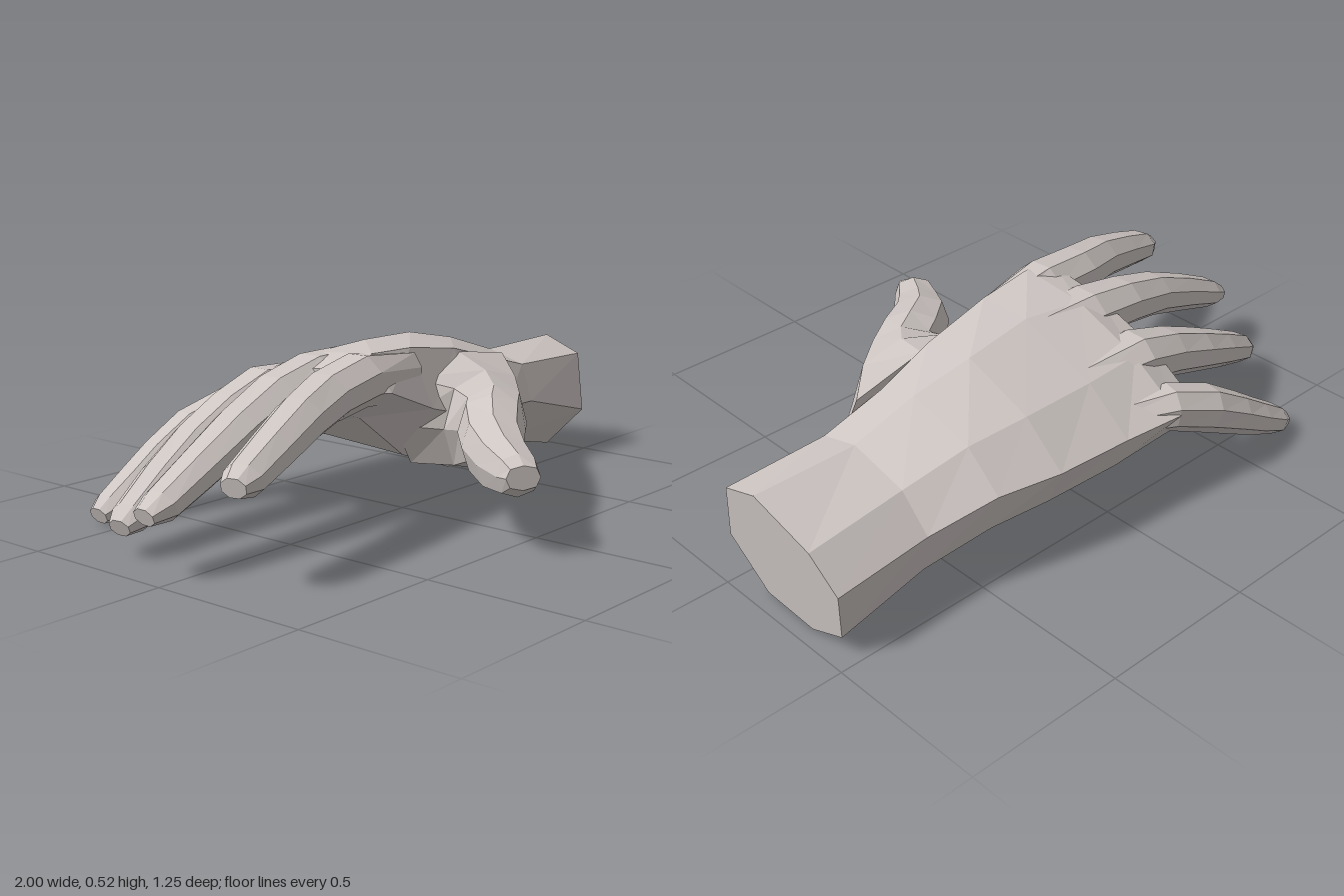
import * as THREE from 'three';

const V = (x, y, z) => new THREE.Vector3(x, y, z);

// Skin a list of equal-length rings and close both ends
function loft(rings, material, name) {
  const n = rings[0].length, pos = [], idx = [];
  rings.forEach(r => r.forEach(p => pos.push(p.x, p.y, p.z)));
  for (let i = 0; i < rings.length - 1; i++) {
    for (let j = 0; j < n; j++) {
      const a = i * n + j, b = i * n + (j + 1) % n;
      idx.push(a, b, a + n, b, b + n, a + n);
    }
  }
  const e = (rings.length - 1) * n;
  for (let j = 1; j < n - 1; j++) idx.push(0, j + 1, j, e, e + j, e + j + 1);
  let g = new THREE.BufferGeometry();
  g.setAttribute('position', new THREE.Float32BufferAttribute(pos, 3));
  g.setIndex(idx);
  g = g.toNonIndexed();
  g.computeVertexNormals(); // faceted
  const mesh = new THREE.Mesh(g, material);
  mesh.name = name;
  return mesh;
}

// Octagonal rings square to a path; each station is [x, y, z, width, height]
function fingerRings(stations) {
  const pts = stations.map(s => V(s[0], s[1], s[2]));
  return stations.map((s, i) => {
    const t = pts[Math.min(i + 1, pts.length - 1)].clone().sub(pts[Math.max(i - 1, 0)]).normalize();
    const side = V(0, 1, 0).cross(t).normalize();
    const up = t.clone().cross(side);
    return Array.from({ length: 8 }, (_, k) => {
      const a = (k + 0.5) * Math.PI / 4, f = 0.5 / Math.cos(Math.PI / 8);
      return pts[i].clone()
        .addScaledVector(side, Math.cos(a) * s[3] * f)
        .addScaledVector(up, Math.sin(a) * s[4] * f);
    });
  });
}

// Upright octagonal rings; each station is [outer x, outer z, inner x, inner z, top y, bottom y]
function thumbRings(stations) {
  return stations.map(([xo, zo, xi, zi, top, bottom]) => Array.from({ length: 8 }, (_, k) => {
    const a = k * Math.PI / 4, c = Math.cos(a), s = Math.sin(a);
    const w = (1 + Math.sign(c) * Math.abs(c) ** 0.8) / 2;
    const h = (1 + Math.sign(s) * Math.abs(s) ** 0.8) / 2;
    return V(xi + (xo - xi) * w, bottom + (top - bottom) * h, zi + (zo - zi) * w);
  }));
}

export function createModel() {
  const group = new THREE.Group();
  group.name = 'hand';
  const skin = new THREE.MeshStandardMaterial({ color: 0xcfc7c4 });
  skin.name = 'pale skin';

  // Wrist and palm: x, then z,y pairs from the thumb side over the back of the hand
  const sections = [
    [0.975, 0.01, 0.15, -0.03, 0.34, -0.167, 0.39, -0.38, 0.32, -0.476, 0.223, -0.455, 0.067, -0.316, 0.003, -0.123, 0.013],
    [0.66, 0.01, 0.23, -0.03, 0.35, -0.165, 0.387, -0.36, 0.34, -0.46, 0.24, -0.44, 0.12, -0.31, 0.075, -0.12, 0.075],
    [0.45, 0.06, 0.25, -0.03, 0.41, -0.17, 0.455, -0.39, 0.395, -0.51, 0.29, -0.48, 0.17, -0.3, 0.115, -0.1, 0.105],
    [0.25, 0.11, 0.26, 0, 0.465, -0.18, 0.497, -0.41, 0.41, -0.55, 0.29, -0.5, 0.17, -0.3, 0.13, -0.02, 0.08],
    [0, 0.12, 0.33, 0.03, 0.505, -0.15, 0.51, -0.41, 0.41, -0.565, 0.29, -0.52, 0.18, -0.3, 0.19, 0, 0.17],
    [-0.2, 0.125, 0.41, 0.05, 0.517, -0.17, 0.497, -0.4, 0.41, -0.585, 0.29, -0.53, 0.2, -0.3, 0.26, 0, 0.32],
    [-0.31, 0.1, 0.42, 0.04, 0.49, -0.14, 0.465, -0.36, 0.39, -0.58, 0.25, -0.53, 0.2, -0.3, 0.29, 0, 0.36],
  ];
  const palmRings = sections.map(([x, ...p], i) => Array.from({ length: 8 }, (_, k) => {
    const z = p[2 * k], y = p[2 * k + 1];
    return V(i === 0 ? x + (y - 0.2) * 0.13 : x, y, z); // slanted cut at the wrist
  }));
  group.add(loft(palmRings, skin, 'palmAndWrist'));

  // Fingers
  const fingers = {
    indexFinger: [
      [0, 0.42, 0.02, 0.1, 0.14], [-0.25, 0.445, 0.04, 0.165, 0.15], [-0.42, 0.425, 0.065, 0.16, 0.14],
      [-0.57, 0.395, 0.11, 0.145, 0.13], [-0.73, 0.345, 0.155, 0.13, 0.115],
      [-0.87, 0.3, 0.192, 0.115, 0.095], [-0.92, 0.29, 0.205, 0.075, 0.055]],
    middleFinger: [
      [-0.02, 0.44, -0.14, 0.15, 0.12], [-0.25, 0.425, -0.14, 0.185, 0.15], [-0.42, 0.395, -0.13, 0.165, 0.14],
      [-0.6, 0.34, -0.1, 0.15, 0.125], [-0.78, 0.265, -0.075, 0.13, 0.11],
      [-0.93, 0.2, -0.06, 0.115, 0.09], [-0.99, 0.18, -0.06, 0.075, 0.05]],
    ringFinger: [
      [-0.02, 0.375, -0.34, 0.13, 0.1], [-0.25, 0.36, -0.345, 0.175, 0.15], [-0.4, 0.315, -0.34, 0.16, 0.14],
      [-0.55, 0.255, -0.33, 0.15, 0.125], [-0.7, 0.185, -0.305, 0.135, 0.11],
      [-0.85, 0.112, -0.272, 0.115, 0.09], [-0.9, 0.092, -0.265, 0.07, 0.05]],
    littleFinger: [
      [0.0, 0.29, -0.45, 0.08, 0.09], [-0.22, 0.28, -0.515, 0.14, 0.13], [-0.36, 0.228, -0.545, 0.145, 0.135],
      [-0.48, 0.163, -0.56, 0.13, 0.12], [-0.58, 0.105, -0.563, 0.125, 0.105],
      [-0.68, 0.052, -0.563, 0.11, 0.085], [-0.725, 0.034, -0.563, 0.07, 0.05]],
  };
  for (const [name, stations] of Object.entries(fingers)) {
    group.add(loft(fingerRings(stations), skin, name));
  }

  // Thumb, widening into the side of the palm
  const thumb = [
    [0.62, -0.03, -0.06, 0.02, 0.45, 0.1], [0.42, 0.15, 0.05, 0.12, 0.415, 0.1],
    [0.27, 0.27, 0.06, 0.17, 0.39, 0.13], [0.15, 0.35, 0, 0.21, 0.385, 0.16],
    [0.03, 0.43, -0.11, 0.31, 0.355, 0.17], [-0.05, 0.51, -0.17, 0.41, 0.32, 0.155],
    [-0.12, 0.59, -0.225, 0.52, 0.295, 0.17], [-0.155, 0.62, -0.235, 0.56, 0.27, 0.2],
  ];
  group.add(loft(thumbRings(thumb), skin, 'thumb'));
  return group;
}
